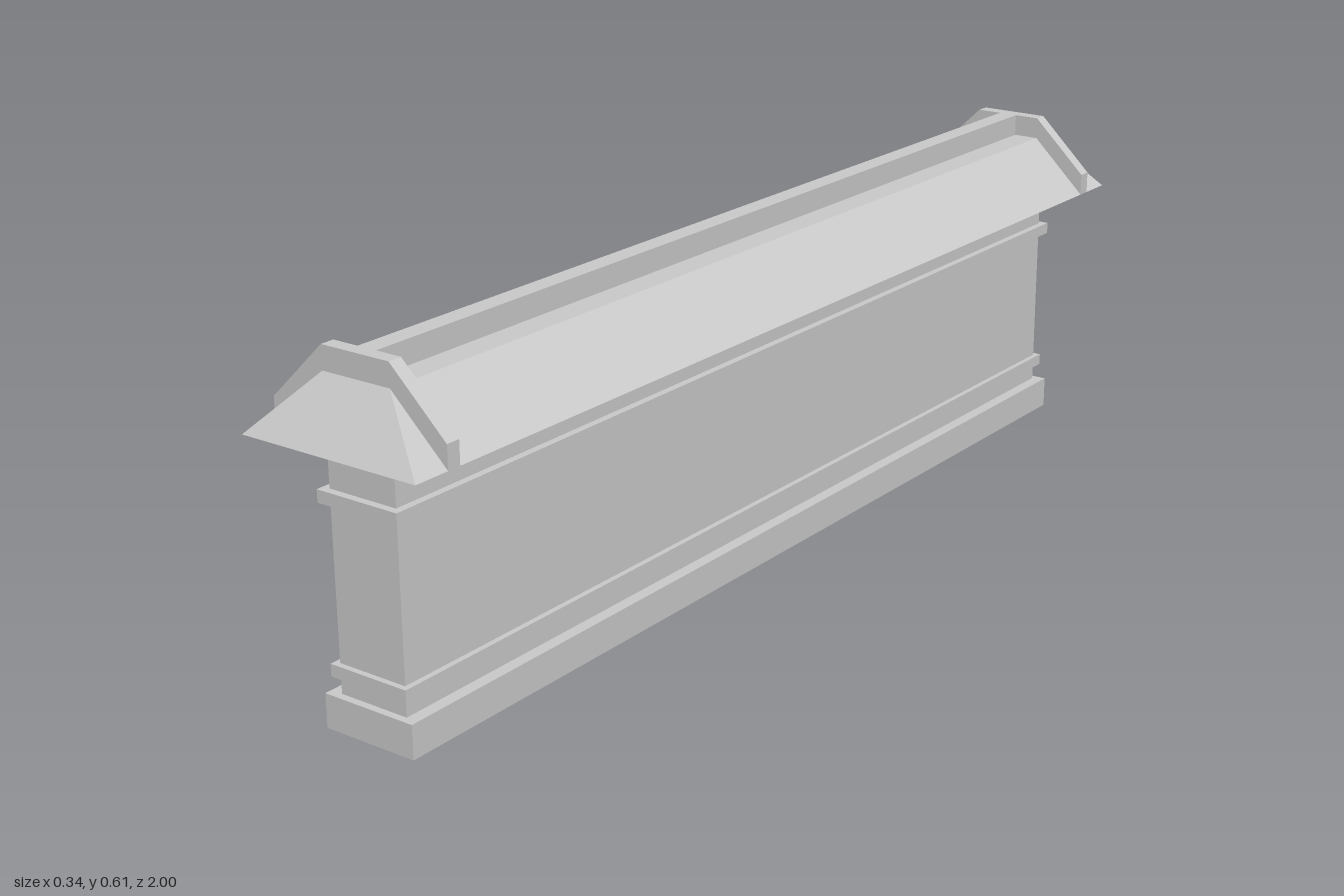
import * as THREE from 'three';

const material = new THREE.MeshStandardMaterial({ color: 0xcccccc, flatShading: true, side: THREE.DoubleSide });

function add(group, name, geometry, x = 0, y = 0, z = 0) {
  const mesh = new THREE.Mesh(geometry, material);
  mesh.name = name;
  mesh.position.set(x, y, z);
  group.add(mesh);
  return mesh;
}

// Joins stacked rectangles [halfX, y, halfZ] with flat side faces, with optional end caps.
function rectLoft(rings, capBottom, capTop) {
  const corners = rings.map(([x, y, z]) => [[x, y, z], [x, y, -z], [-x, y, -z], [-x, y, z]]);
  const positions = [];
  const quad = (a, b, c, d) => positions.push(...a, ...b, ...c, ...a, ...c, ...d);
  for (let i = 0; i < corners.length - 1; i++) {
    for (let k = 0; k < 4; k++) {
      const n = (k + 1) % 4;
      quad(corners[i][k], corners[i][n], corners[i + 1][n], corners[i + 1][k]);
    }
  }
  const first = corners[0], last = corners[corners.length - 1];
  if (capBottom) quad(first[3], first[2], first[1], first[0]);
  if (capTop) quad(last[0], last[1], last[2], last[3]);
  const geometry = new THREE.BufferGeometry();
  geometry.setAttribute('position', new THREE.Float32BufferAttribute(positions, 3));
  geometry.computeVertexNormals();
  return geometry;
}

export function createModel() {
  const model = new THREE.Group();
  model.name = 'copedWall';

  // Hollow wall: plinth and two string courses in one stepped shell, open underneath
  const wall = [0.066, 0.934];
  const steps = [
    [0.088, 0.947, 0, 0.058],
    [...wall, 0.058, 0.088],
    [0.076, 0.944, 0.088, 0.109],
    [...wall, 0.109, 0.368],
    [0.079, 0.947, 0.368, 0.389],
    [...wall, 0.389, 0.47],
  ];
  const rings = steps.flatMap(([x, z, y0, y1]) => [[x, y0, z], [x, y1, z]]);
  add(model, 'wall', rectLoft(rings, false, false));

  // Hipped coping with a flat top and soffit
  add(model, 'copingRoof', rectLoft([[0.17, 0.47, 1], [0.066, 0.57, 0.934]], true, true));

  // Ridge bar along the top
  add(model, 'ridge', new THREE.BoxGeometry(0.036, 0.04, 1.82), 0, 0.59, 0);

  // Raised verge at each end, following the roof slope
  const verge = new THREE.Shape([
    [-0.17, 0.47], [0.17, 0.47], [0.17, 0.51],
    [0.066, 0.61], [-0.066, 0.61], [-0.17, 0.51],
  ].map(([x, y]) => new THREE.Vector2(x, y)));
  const vergeGeometry = new THREE.ExtrudeGeometry(verge, { depth: 0.025, bevelEnabled: false });
  add(model, 'frontVerge', vergeGeometry, 0, 0, 0.909);
  add(model, 'backVerge', vergeGeometry, 0, 0, -0.934);

  return model;
}
